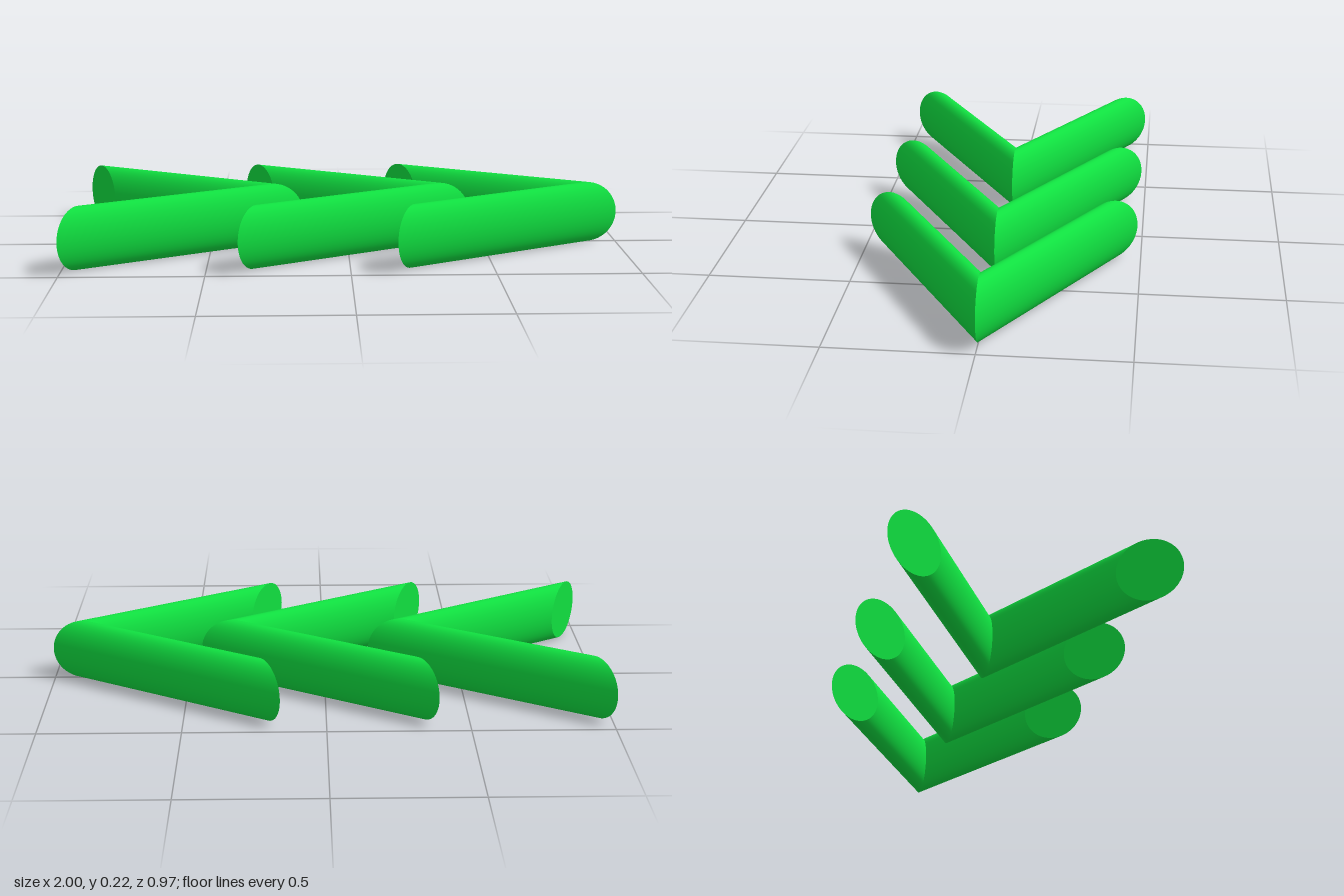
import * as THREE from 'three';

const R = 0.112;                 // radius of the round mitre faces
const ANGLE = Math.PI / 6;       // slant of each arm, and of its mitre cuts
const OUTER = 0.839 / Math.cos(ANGLE); // length of an arm's outer edge
const TIPS = [-0.162, 0.452, 1];

// Oval bar along y, mitred at both ends so it is longest on its outer (+x) side
function makeArmGeometry() {
  const half = R * Math.sin(ANGLE);
  const slope = 1 / Math.tan(ANGLE);
  const geo = new THREE.CylinderGeometry(1, 1, OUTER - 2 * half * slope, 64, 1, true);
  geo.scale(half, 1, R);
  const p = geo.attributes.position;
  for (let i = 0; i < p.count; i++) {
    p.setY(i, p.getY(i) + Math.sign(p.getY(i)) * p.getX(i) * slope);
  }
  // Lay the bar down, pointing from the rear end to the tip at the origin
  const c = Math.cos(ANGLE), s = Math.sin(ANGLE);
  const out = new THREE.Vector3(s, 0, c);
  const along = new THREE.Vector3(c, 0, -s);
  geo.applyMatrix4(new THREE.Matrix4().makeBasis(out, along, new THREE.Vector3(0, 1, 0)));
  const mid = along.multiplyScalar(-OUTER / 2).addScaledVector(out, -half);
  geo.translate(mid.x, 0, mid.z);
  return geo;
}

// Round face closing the rear end of an arm
function makeCapGeometry() {
  const c = Math.cos(ANGLE), s = Math.sin(ANGLE);
  const geo = new THREE.CircleGeometry(R, 64);
  geo.rotateY(Math.atan2(-c, -s));
  geo.translate(-OUTER * c + R * s, 0, OUTER * s - R * c);
  return geo;
}

export function createModel() {
  const model = new THREE.Group();
  model.name = 'chevronArrows';
  const green = new THREE.MeshStandardMaterial({ color: 0x10e040, side: THREE.DoubleSide });
  const armGeo = makeArmGeometry();
  const capGeo = makeCapGeometry();

  TIPS.forEach((x, i) => {
    const chevron = new THREE.Group();
    chevron.name = `chevron${i + 1}`;
    chevron.position.set(x, R, 0);
    // Front arm, and the same arm turned over for the back
    ['front', 'back'].forEach((label, k) => {
      const arm = new THREE.Group();
      arm.name = `${label}Arm`;
      arm.rotation.x = k * Math.PI;
      const bar = new THREE.Mesh(armGeo, green);
      bar.name = `${label}Bar`;
      const cap = new THREE.Mesh(capGeo, green);
      cap.name = `${label}EndCap`;
      arm.add(bar, cap);
      chevron.add(arm);
    });
    model.add(chevron);
  });
  return model;
}
